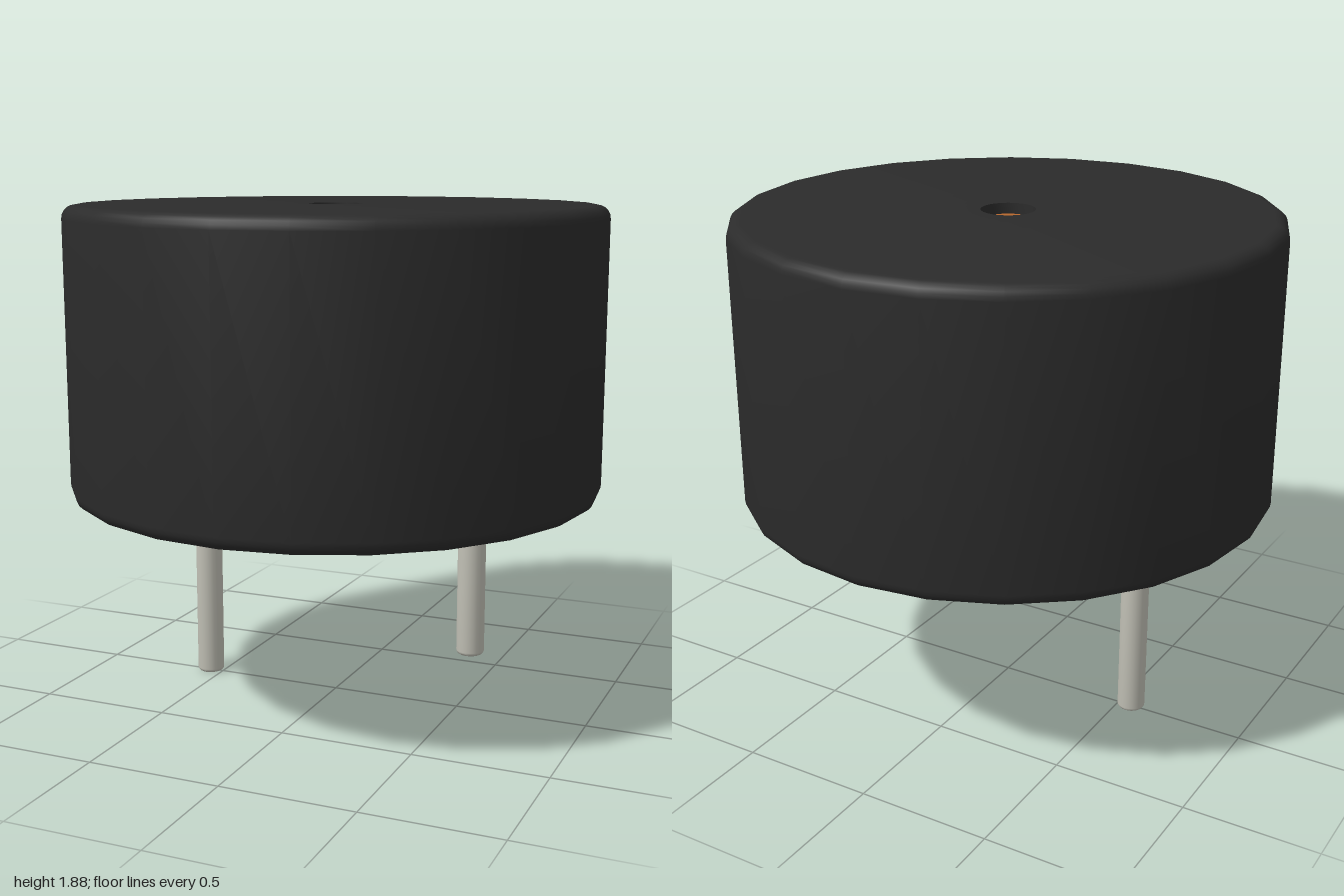
import * as THREE from 'three';
import { toCreasedNormals } from 'three/addons/utils/BufferGeometryUtils.js';

const SIDES = 24;

// Quarter-circle profile points around (cx, cy), from angle a0 (degrees) upwards
function fillet(cx, cy, r, a0, steps = 5) {
  const points = [];
  for (let i = 0; i <= steps; i++) {
    const a = THREE.MathUtils.degToRad(a0 + (90 * i) / steps);
    points.push(new THREE.Vector2(cx + r * Math.cos(a), cy + r * Math.sin(a)));
  }
  return points;
}

function lathe(name, points, material) {
  const geometry = toCreasedNormals(new THREE.LatheGeometry(points, SIDES), 0.7);
  const mesh = new THREE.Mesh(geometry, material);
  mesh.name = name;
  return mesh;
}

export function createModel() {
  const group = new THREE.Group();
  group.name = 'buzzer';
  const black = new THREE.MeshStandardMaterial({ color: 0x2b2b2b });
  const orange = new THREE.MeshStandardMaterial({ color: 0xb8672d });
  const metal = new THREE.MeshStandardMaterial({ color: 0xc4c3b8 });

  const bottom = 0.805, top = 1.885, edge = 0.05;
  const holeRadius = 0.1, holeFloor = top - 0.04;

  // Round case with softened edges and a sound hole in the top
  group.add(lathe('case', [
    new THREE.Vector2(0, bottom),
    ...fillet(1 - edge, bottom + edge, edge, -90),
    ...fillet(1 - edge, top - edge, edge, 0),
    new THREE.Vector2(holeRadius, top),
    new THREE.Vector2(holeRadius, holeFloor),
  ], black));

  // Diaphragm at the bottom of the hole
  const diaphragm = new THREE.Mesh(new THREE.CircleGeometry(holeRadius, SIDES), orange);
  diaphragm.name = 'diaphragm';
  diaphragm.rotation.x = -Math.PI / 2;
  diaphragm.position.y = holeFloor;
  group.add(diaphragm);

  // Two contact pins of different length, rounded at the tip
  const pinRadius = 0.052, tip = 0.015;
  for (const [name, x, y] of [['longPin', -0.553, 0], ['shortPin', 0.55, 0.22]]) {
    const pin = lathe(name, [
      new THREE.Vector2(0, y),
      ...fillet(pinRadius - tip, y + tip, tip, -90, 4),
      new THREE.Vector2(pinRadius, bottom + 0.01),
    ], metal);
    pin.position.x = x;
    group.add(pin);
  }

  return group;
}
